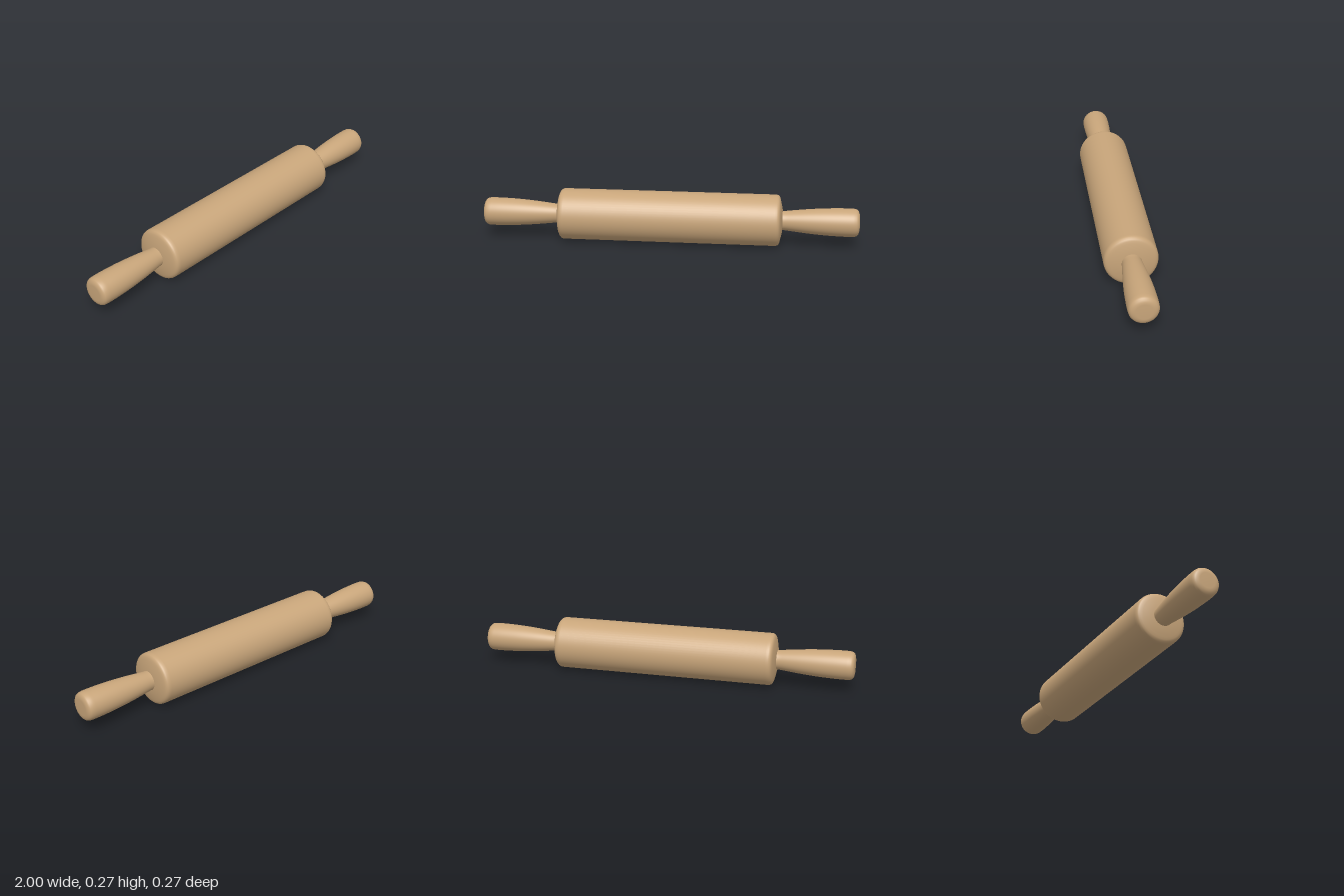
import * as THREE from 'three';

const AXIS_Y = 0.136;

export function createModel() {
  const model = new THREE.Group();
  model.name = 'rollingPin';
  const wood = new THREE.MeshStandardMaterial({ color: 0xc8a57a });
  wood.name = 'wood';

  // Turned part: profile of [radius, distance along x]
  function turned(name, profile) {
    const points = profile.map(([r, x]) => new THREE.Vector2(r, x));
    const geometry = new THREE.LatheGeometry(points, 64);
    geometry.rotateZ(-Math.PI / 2);
    const mesh = new THREE.Mesh(geometry, wood);
    mesh.name = name;
    mesh.position.y = AXIS_Y;
    model.add(mesh);
    return mesh;
  }

  // Barrel with softly rounded, slightly domed ends
  const barrelEnd = [
    [0.136, 0.555], [0.1355, 0.567], [0.132, 0.576], [0.126, 0.582],
    [0.117, 0.586], [0.105, 0.589], [0.06, 0.599], [0, 0.6],
  ];
  const otherEnd = barrelEnd.map(([r, x]) => [r, -x]).reverse();
  turned('barrel', [...otherEnd, ...barrelEnd]);

  // Handle: slim neck swelling smoothly to the grip
  const grip = new THREE.SplineCurve([
    [0.051, 0.58], [0.051, 0.61], [0.056, 0.655], [0.064, 0.73],
    [0.071, 0.82], [0.0745, 0.91], [0.0745, 0.965],
  ].map(([r, x]) => new THREE.Vector2(r, x)));
  const handleProfile = [
    ...grip.getPoints(24).map((p) => [p.x, p.y]),
    [0.073, 0.979], [0.069, 0.988], [0.062, 0.994], [0.052, 0.998],
    [0.04, 1], [0, 1],
  ];
  turned('leftHandle', handleProfile);
  turned('rightHandle', handleProfile).rotation.y = Math.PI;

  return model;
}
